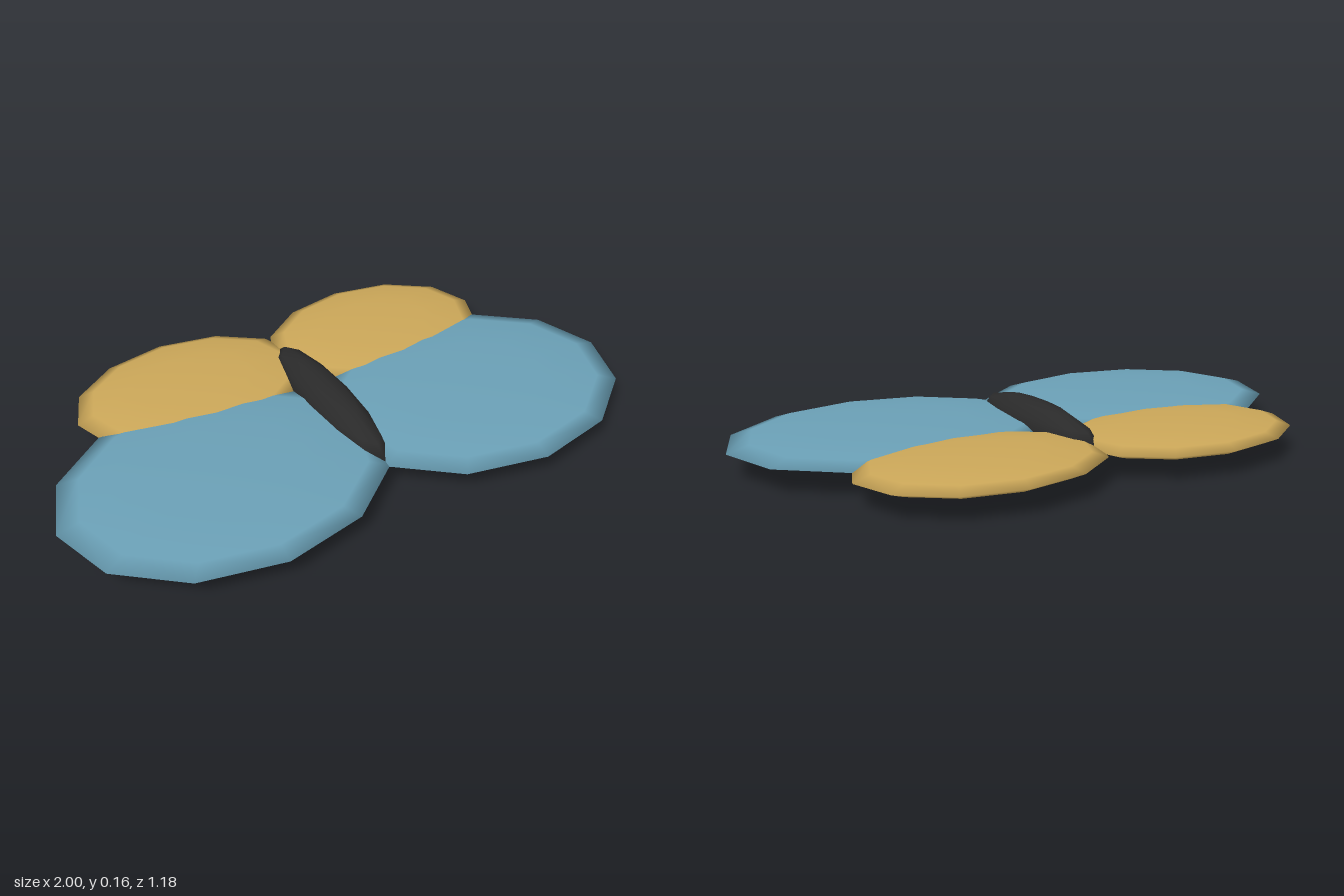
import * as THREE from 'three';

const CENTRE_Y = 0.082;

export function createModel() {
  const model = new THREE.Group();
  model.name = 'butterfly';

  const blue = new THREE.MeshStandardMaterial({ color: 0x6a9fb5 });
  blue.name = 'blue wing';
  const gold = new THREE.MeshStandardMaterial({ color: 0xcaa658 });
  gold.name = 'gold wing';
  const black = new THREE.MeshStandardMaterial({ color: 0x2a2a2a });
  black.name = 'black body';

  // Every part is the same coarse, smooth-shaded ball, stretched to size
  const ball = new THREE.SphereGeometry(1, 12, 6);
  function ellipsoid(name, material, x, z, rx, ry, rz) {
    const mesh = new THREE.Mesh(ball, material);
    mesh.name = name;
    mesh.position.set(x, CENTRE_Y, z);
    mesh.scale.set(rx, ry, rz);
    model.add(mesh);
  }

  // Long slim body
  ellipsoid('body', black, 0, 0, 0.08, 0.082, 0.36);

  // Large blue wings in front, smaller gold wings behind
  for (const [side, s] of [['left', 1], ['right', -1]]) {
    ellipsoid(`${side}FrontWing`, blue, s * 0.46, 0.16, 0.54, 0.038, 0.427);
    ellipsoid(`${side}BackWing`, gold, s * 0.363, -0.3, 0.408, 0.038, 0.29);
  }

  return model;
}
